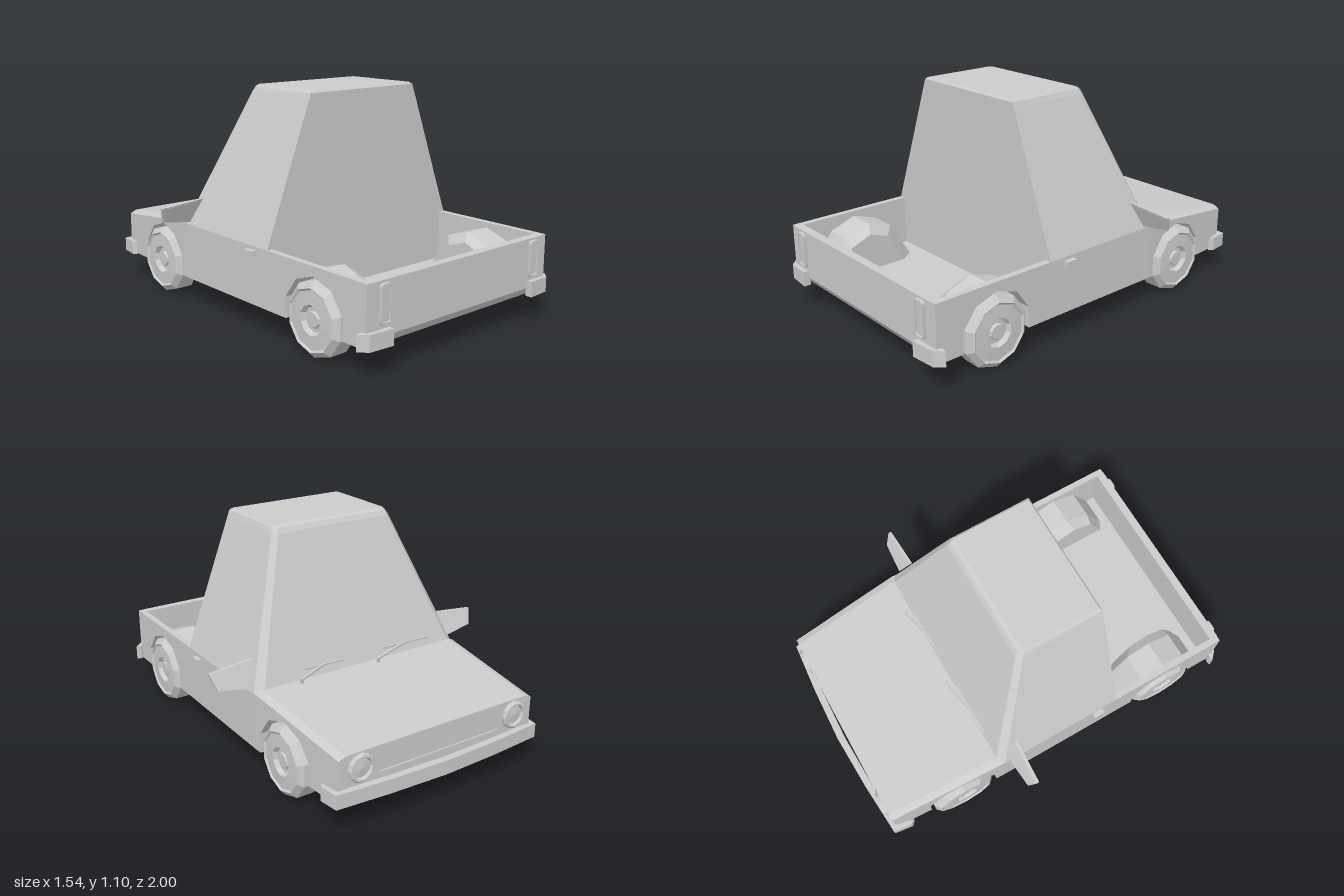
import * as THREE from 'three';

const mat = new THREE.MeshStandardMaterial({ color: 0xcccccc, flatShading: true });

export function createModel() {
  const root = new THREE.Group();

  // --- helpers ---
  function add(name, geo) {
    const g = geo.index ? geo.toNonIndexed() : geo;
    g.computeVertexNormals();
    const mesh = new THREE.Mesh(g, mat);
    mesh.name = name;
    root.add(mesh);
  }
  // adds a part and its copy on the other side
  function pair(name, geo) {
    const left = geo.index ? geo.toNonIndexed() : geo;
    const right = left.clone();
    const p = right.attributes.position, a = new THREE.Vector3(), b = new THREE.Vector3();
    right.scale(-1, 1, 1);
    for (let i = 0; i < p.count; i += 3) {
      a.fromBufferAttribute(p, i + 1);
      b.fromBufferAttribute(p, i + 2);
      p.setXYZ(i + 1, b.x, b.y, b.z);
      p.setXYZ(i + 2, a.x, a.y, a.z);
    }
    add(name + 'Left', left);
    add(name + 'Right', right);
  }
  const shapeOf = pts => new THREE.Shape(pts.map(p => new THREE.Vector2(...p)));
  const extrude = (shape, depth) => new THREE.ExtrudeGeometry(shape, { depth, bevelEnabled: false, curveSegments: 3 });
  const box = (x0, x1, y0, y1, z0, z1) => new THREE.BoxGeometry(x1 - x0, y1 - y0, z1 - z0)
    .translate((x0 + x1) / 2, (y0 + y1) / 2, (z0 + z1) / 2);
  function warp(geo, rule) {
    const p = geo.attributes.position, v = new THREE.Vector3();
    for (let i = 0; i < p.count; i++) {
      rule(v.fromBufferAttribute(p, i));
      p.setXYZ(i, v.x, v.y, v.z);
    }
    return geo;
  }
  // side profile in (z, y), stretched from x0 to x1
  const slab = (pts, x0, x1) => extrude(shapeOf(pts), x1 - x0).rotateY(-Math.PI / 2).translate(x1, 0, 0);
  // plan outline in (x, z), stretched from y0 to y1
  const plan = (pts, y0, y1) => extrude(shapeOf(pts), y1 - y0).rotateX(Math.PI / 2).translate(0, y1, 0);
  // wheel arch outline, running towards +z
  function arch(zc, R = 0.195) {
    const at = d => [zc - R * Math.cos(d * Math.PI / 180), 0.17 + R * Math.sin(d * Math.PI / 180)];
    const w = R * Math.cos(Math.PI / 10);
    return [[zc - w, 0.13], ...[18, 54, 90, 126, 162].map(at), [zc + w, 0.13]];
  }

  // --- nose: narrows towards the front, with chamfered outer edges ---
  const noseTop = [[-0.34, 0.43], [-0.945, 0.357]];
  const nose = [[-0.945, 0.13], ...arch(-0.56), [-0.34, 0.13], ...noseTop];
  const taper = v => { v.x *= 1 - 0.07 * (-0.34 - v.z) / 0.605; };
  add('hoodCore', warp(slab([[-0.945, 0.13], [-0.34, 0.13], ...noseTop], -0.38, 0.38), taper));
  pair('hoodSide', warp(slab(nose, 0.38, 0.55), taper));
  pair('fender', warp(slab(nose, 0.55, 0.587), v => {
    if (v.x > 0.56 && v.y > 0.35 && (v.z > -0.35 || v.z < -0.9)) v.y -= 0.015;
    taper(v);
  }));

  // --- cabin base, bed walls, floor and tailgate ---
  add('cabinBase', box(-0.56, 0.56, 0.13, 0.41, -0.34, 0.33));
  pair('sidePanel', slab([[-0.34, 0.13], ...arch(0.645), [0.945, 0.13], [0.97, 0.17], [0.97, 0.41], [-0.34, 0.41]], 0.555, 0.587));
  add('tailgate', slab([[0.93, 0.13], [0.945, 0.13], [0.972, 0.17], [0.972, 0.41], [0.93, 0.41]], -0.56, 0.56));
  add('bedFloor', box(-0.38, 0.38, 0.13, 0.16, 0.33, 0.93));
  pair('bedFloorFront', box(0.38, 0.555, 0.13, 0.16, 0.33, 0.46));
  pair('bedFloorRear', box(0.38, 0.555, 0.13, 0.16, 0.83, 0.93));

  // --- wheel housings standing in the bed ---
  const hump = [[0.9, 0.13], [0.78, 0.335], [0.645, 0.385], [0.52, 0.345], [0.39, 0.13]];
  pair('wheelHousing', slab([...arch(0.645), ...hump], 0.41, 0.556));
  pair('wheelHousingEnd', warp(slab(hump, 0.36, 0.41), v => {
    if (v.x < 0.4) {
      v.z = 0.67 + (v.z - 0.645) * 0.8;
      v.y = 0.13 + (v.y - 0.13) * 0.85;
    }
  }));

  // --- cabin: loft through half outlines [x, z] at rising heights ---
  const levels = [
    [0.41, [[0.586, 0.33], [0.586, -0.325], [0.55, -0.357]]],
    [1.07, [[0.337, 0.33], [0.337, -0.09], [0.315, -0.115]]],
    [1.092, [[0.328, 0.33], [0.325, -0.08], [0.31, -0.1]]],
    [1.102, [[0.315, 0.32], [0.315, -0.072], [0.305, -0.08]]],
  ];
  const pos = [], idx = [];
  levels.forEach(([y, half]) => {
    const ring = [...half, ...half.map(([x, z]) => [-x, z]).reverse()];
    ring.forEach(([x, z]) => pos.push(x, y, z));
  });
  for (let l = 0; l < levels.length - 1; l++) {
    for (let i = 0; i < 6; i++) {
      const a = l * 6 + i, b = l * 6 + (i + 1) % 6;
      idx.push(a, b, b + 6, a, b + 6, a + 6);
    }
  }
  for (let i = 1; i < 5; i++) idx.push(18, 18 + i, 19 + i);
  const cabin = new THREE.BufferGeometry();
  cabin.setAttribute('position', new THREE.Float32BufferAttribute(pos, 3));
  cabin.setIndex(idx);
  add('cabin', cabin);

  // --- wheels: ten-sided, bevelled tyre with a dished hub ---
  const tyre = [[0, -0.07], [0.14, -0.07], [0.173, -0.045], [0.173, 0.045], [0.145, 0.07], [0.135, 0.062],
    [0.07, 0.066], [0.058, 0.045], [0.04, 0.045], [0.034, 0.056], [0, 0.056]];
  for (const [name, x, z] of [['frontWheel', 0.525, -0.56], ['rearWheel', 0.535, 0.645]]) {
    pair(name, new THREE.LatheGeometry(tyre.map(p => new THREE.Vector2(...p)), 10, Math.PI / 2)
      .rotateZ(-Math.PI / 2).translate(x, 0.173, z));
  }

  // --- bumpers ---
  const outer = [[0.3, -0.988], [0.572, -0.967], [0.585, -0.87], [0.567, -0.85], [0.55, -0.94], [0.3, -0.955]];
  add('frontBumper', plan([[0, -1], ...outer, [0, -0.965],
    ...outer.map(([x, z]) => [-x, z]).reverse()], 0.133, 0.203));
  pair('rearBumper', plan([[0.46, 1], [0.585, 0.99], [0.625, 0.95], [0.6, 0.945], [0.56, 0.96], [0.46, 0.965]], 0.13, 0.205));

  // --- headlights and grille slot ---
  const lamp = [[0.068, 0], [0.068, 0.012], [0.06, 0.02], [0.052, 0.02], [0.046, 0.008], [0, 0.014]];
  pair('headlight', new THREE.LatheGeometry(lamp.map(p => new THREE.Vector2(...p)), 12)
    .rotateX(-Math.PI / 2).translate(0.435, 0.283, -0.944));
  add('grilleBar', box(-0.34, 0.34, 0.222, 0.234, -0.953, -0.94));

  // --- tail lights: rounded bezel around a flat lens ---
  function roundRect(w, h, r, T = THREE.Shape) {
    const s = new T();
    s.moveTo(-w + r, -h).lineTo(w - r, -h).quadraticCurveTo(w, -h, w, -h + r)
      .lineTo(w, h - r).quadraticCurveTo(w, h, w - r, h).lineTo(-w + r, h)
      .quadraticCurveTo(-w, h, -w, h - r).lineTo(-w, -h + r).quadraticCurveTo(-w, -h, -w + r, -h);
    return s;
  }
  const bezel = roundRect(0.031, 0.088, 0.018);
  bezel.holes.push(roundRect(0.022, 0.078, 0.012, THREE.Path));
  pair('tailLightBezel', extrude(bezel, 0.02).translate(0.489, 0.311, 0.967));
  pair('tailLightLens', extrude(roundRect(0.024, 0.08, 0.012), 0.012).translate(0.489, 0.311, 0.967));

  // --- door handles ---
  pair('doorHandle', box(0.58, 0.612, 0.365, 0.393, 0.19, 0.248));

  // --- wing mirrors, leaning with the windscreen ---
  const lean = v => { v.z += -0.3 + (v.y - 0.42) * 0.42; };
  pair('mirror', warp(extrude(shapeOf([[0.545, 0.545], [0.59, 0.425], [0.747, 0.45], [0.77, 0.525]]), 0.016), lean));
  pair('mirrorGlass', warp(extrude(shapeOf([[0.57, 0.537], [0.604, 0.436], [0.74, 0.457], [0.758, 0.52]]), 0.019), lean));

  // --- wipers: blade along the glass and a raised arm ---
  function rod(name, a, b, t) {
    const from = new THREE.Vector3(...a), to = new THREE.Vector3(...b);
    const geo = new THREE.BoxGeometry(t, t, from.distanceTo(to));
    geo.lookAt(to.clone().sub(from));
    const mid = from.add(to).multiplyScalar(0.5);
    add(name, geo.translate(mid.x, mid.y, mid.z));
  }
  for (const [x, s] of [[-0.08, 1], [0.36, 0.78]]) {
    rod('wiperBlade', [x - 0.33 * s, 0.47, -0.345], [x - 0.05 * s, 0.478, -0.352], 0.009);
    rod('wiperArm', [x, 0.447, -0.382], [x - 0.18 * s, 0.477, -0.352], 0.011);
    rod('wiperPivot', [x, 0.385, -0.372], [x, 0.452, -0.382], 0.012);
  }

  return root;
}
